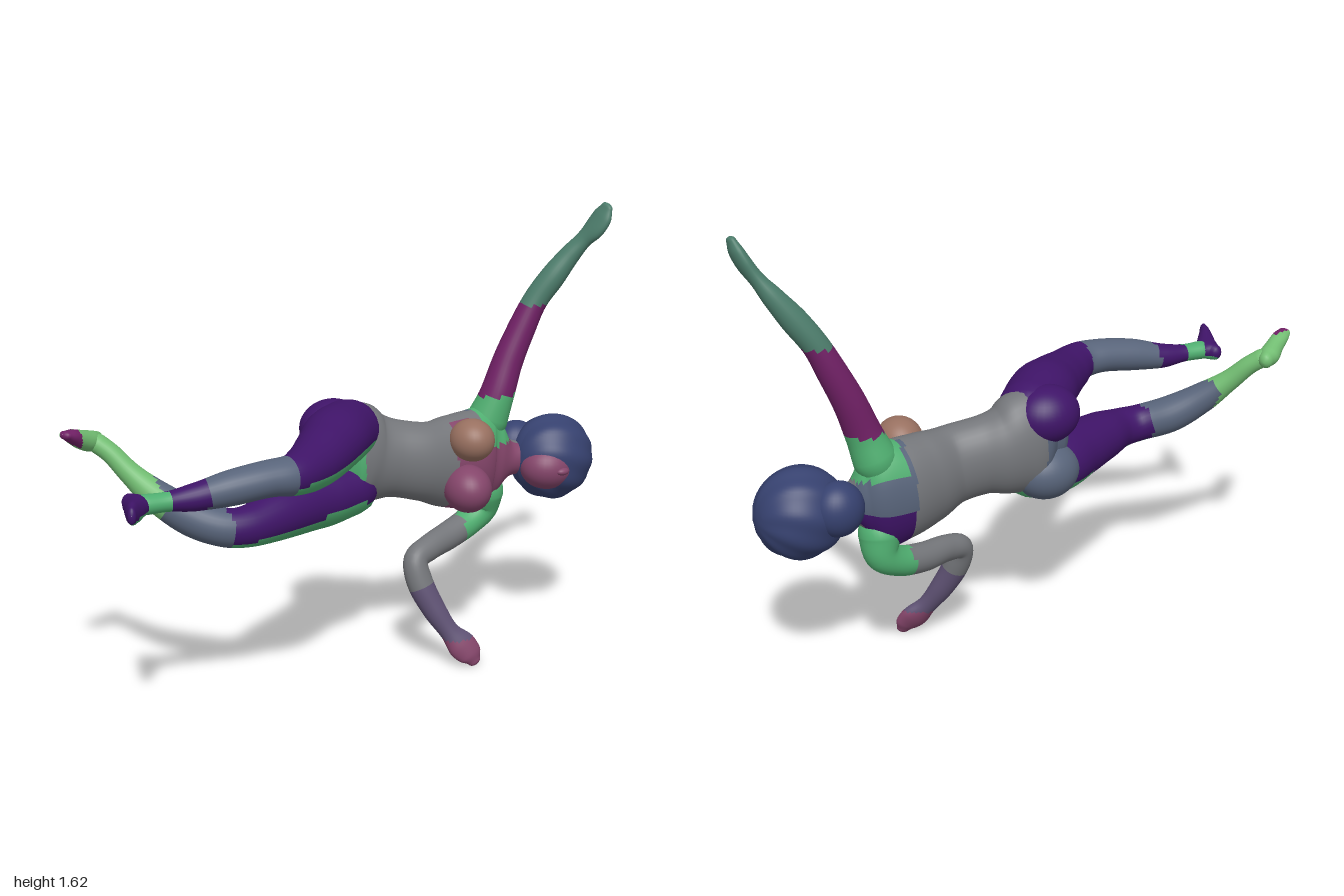
import * as THREE from 'three';

const PALETTE = {
  violet: 0x3f1468, green: 0x4fae70, lime: 0x72bd72, slate: 0x58647a, grey: 0x74767a,
  plum: 0x702065, teal: 0x4d7d6c, mauve: 0x5f5274, rose: 0x84456a, tan: 0x987060, blue: 0x36416f,
};
const materials = {};
const paint = (key) => (materials[key] ??= new THREE.MeshStandardMaterial({ color: PALETTE[key] }));

// Smooth body: stations are [x, y, z, radius along ref, radius across]; pick(point, t) names the colour.
function loft(name, stations, ref, pick, sides = 28, steps = 64) {
  const path = new THREE.CatmullRomCurve3(stations.map((s) => new THREE.Vector3(s[0], s[1], s[2])));
  const radii = new THREE.CatmullRomCurve3(stations.map((s) => new THREE.Vector3(s[3], s[4], 0)), false, 'catmullrom', 0.4);
  const rings = [];
  const addRing = (t, shift, scale) => {
    const T = path.getTangent(t), r = radii.getPoint(t);
    const u = ref.clone().addScaledVector(T, -ref.dot(T)).normalize();
    const w = new THREE.Vector3().crossVectors(T, u);
    const c = path.getPoint(t).addScaledVector(T, shift * Math.min(r.x, r.y));
    rings.push({ t, c, u: u.multiplyScalar(r.x * scale), w: w.multiplyScalar(r.y * scale) });
  };
  // rounded ends on both sides of the swept body
  const caps = [0.05, 0.3, 0.6, 0.9, 1.2].map((a) => [Math.cos(a), Math.sin(a)]);
  caps.forEach(([c, s]) => addRing(0, -c, s));
  for (let i = 0; i <= steps; i++) addRing(i / steps, 0, 1);
  caps.reverse().forEach(([c, s]) => addRing(1, c, s));

  const pos = [];
  for (const { c, u, w } of rings) {
    for (let j = 0; j < sides; j++) {
      const a = (j / sides) * Math.PI * 2;
      const p = c.clone().addScaledVector(u, Math.cos(a)).addScaledVector(w, Math.sin(a));
      pos.push(p.x, p.y, p.z);
    }
  }
  const all = [], byColour = {};
  for (let i = 0; i < rings.length - 1; i++) {
    for (let j = 0; j < sides; j++) {
      const k = (j + 1) % sides;
      const a = i * sides + j, b = i * sides + k, c = b + sides, d = a + sides;
      const p = new THREE.Vector3().fromArray(pos, a * 3);
      const tris = [a, b, d, b, c, d];
      all.push(...tris);
      (byColour[pick(p, rings[i])] ??= []).push(...tris);
    }
  }
  const base = new THREE.BufferGeometry();
  base.setAttribute('position', new THREE.Float32BufferAttribute(pos, 3));
  base.setIndex(all);
  base.computeVertexNormals();
  const group = new THREE.Group();
  group.name = name;
  for (const [key, index] of Object.entries(byColour)) {
    const g = base.clone();
    g.setIndex(index);
    const mesh = new THREE.Mesh(g, paint(key));
    mesh.name = `${name} ${key} area`;
    group.add(mesh);
  }
  return group;
}

function ellipsoid(name, key, centre, size, rotation = [0, 0, 0]) {
  const mesh = new THREE.Mesh(new THREE.SphereGeometry(1, 32, 24), paint(key));
  mesh.name = name;
  mesh.position.set(...centre);
  mesh.scale.set(...size);
  mesh.rotation.set(...rotation);
  return mesh;
}

// Head of hair with soft combed waves
function hair() {
  const g = new THREE.SphereGeometry(1, 56, 40);
  const p = g.attributes.position, v = new THREE.Vector3();
  for (let i = 0; i < p.count; i++) {
    v.fromBufferAttribute(p, i);
    const away = Math.hypot(v.y, v.z);
    v.multiplyScalar(1 + 0.018 * away * Math.sin(9 * Math.atan2(v.y, v.z) + 4 * v.x));
    p.setXYZ(i, v.x * 0.157, v.y * 0.157, v.z * 0.145);
  }
  g.computeVertexNormals();
  const mesh = new THREE.Mesh(g, paint('blue'));
  mesh.name = 'hair';
  mesh.position.set(0.842, 0.68, 0.03);
  return mesh;
}

export function createModel() {
  const model = new THREE.Group();
  model.name = 'recliningFigure';
  const Y = new THREE.Vector3(0, 1, 0), Z = new THREE.Vector3(0, 0, 1);

  // Torso from pelvis to neck
  model.add(loft('torso', [
    [-0.03, 0.78, -0.10, 0.13, 0.08], [0.02, 0.783, -0.10, 0.19, 0.115], [0.07, 0.778, -0.095, 0.19, 0.12],
    [0.13, 0.765, -0.085, 0.16, 0.112], [0.2, 0.755, -0.06, 0.14, 0.10], [0.3, 0.735, -0.03, 0.143, 0.10],
    [0.4, 0.717, -0.035, 0.167, 0.113], [0.5, 0.705, -0.042, 0.182, 0.12], [0.58, 0.7, -0.045, 0.19, 0.102],
    [0.63, 0.695, -0.03, 0.14, 0.08], [0.68, 0.69, -0.015, 0.068, 0.06], [0.78, 0.685, 0.01, 0.058, 0.058],
  ], Y, (p) => {
    if (p.x < 0.03) return p.z > -0.03 ? 'green' : 'slate';
    if (p.x > 0.52 && p.y > 0.78) return 'green';
    if (p.x > 0.5 && p.z < -0.06) return p.y < 0.66 ? 'violet' : 'slate';
    return p.x > 0.38 && p.z > 0 ? 'rose' : 'grey';
  }, 36, 80));

  // Breasts and buttocks
  model.add(
    ellipsoid('upperBreast', 'tan', [0.435, 0.82, 0.085], [0.078, 0.076, 0.085]),
    ellipsoid('lowerBreast', 'rose', [0.415, 0.645, 0.09], [0.085, 0.085, 0.1], [0, -0.3, 0]),
    ellipsoid('upperButtock', 'violet', [-0.01, 0.885, -0.135], [0.12, 0.1, 0.105]),
    ellipsoid('lowerButtock', 'slate', [-0.01, 0.675, -0.135], [0.12, 0.1, 0.105]),
  );

  // Upper leg, bent forward at the hip
  model.add(loft('upperLeg', [
    [0.02, 0.885, -0.085, 0.105, 0.115], [-0.09, 0.893, 0.01, 0.107, 0.118], [-0.18, 0.88, 0.085, 0.098, 0.105],
    [-0.29, 0.867, 0.165, 0.083, 0.088], [-0.39, 0.868, 0.22, 0.068, 0.073], [-0.48, 0.87, 0.215, 0.06, 0.068],
    [-0.6, 0.855, 0.192, 0.058, 0.062], [-0.72, 0.835, 0.158, 0.045, 0.046], [-0.81, 0.832, 0.142, 0.032, 0.035],
    [-0.88, 0.832, 0.13, 0.033, 0.038],
  ], Y, (p, { c }) => {
    if (p.x < -0.8) return 'green';
    if (p.x < -0.68) return 'violet';
    if (p.x < -0.4) return 'slate';
    return p.y > c.y - 0.03 ? 'violet' : 'green';
  }));
  model.add(loft('upperFoot', [
    [-0.91, 0.832, 0.085, 0.03, 0.025], [-0.905, 0.832, 0.12, 0.034, 0.044],
    [-0.935, 0.835, 0.17, 0.037, 0.034], [-0.965, 0.842, 0.215, 0.037, 0.023], [-0.985, 0.848, 0.25, 0.028, 0.014],
  ], Y, (p) => (p.y > 0.82 ? 'violet' : 'green'), 20, 32));

  // Lower leg, bent back at the knee
  model.add(loft('lowerLeg', [
    [0.02, 0.675, -0.09, 0.105, 0.115], [-0.09, 0.667, -0.075, 0.11, 0.12], [-0.2, 0.665, -0.04, 0.102, 0.105],
    [-0.33, 0.662, 0.005, 0.09, 0.092], [-0.45, 0.655, 0.04, 0.072, 0.07], [-0.53, 0.66, 0.03, 0.066, 0.065],
    [-0.62, 0.695, -0.03, 0.066, 0.067], [-0.71, 0.76, -0.095, 0.055, 0.055], [-0.78, 0.84, -0.165, 0.038, 0.038],
    [-0.825, 0.905, -0.215, 0.033, 0.034], [-0.855, 0.935, -0.245, 0.033, 0.035],
  ], Y, (p, { c }) => {
    if (p.x < -0.72) return 'lime';
    if (p.x < -0.53) return 'slate';
    return p.y > c.y - 0.045 ? 'violet' : 'green';
  }));
  model.add(loft('lowerFoot', [
    [-0.85, 0.94, -0.275, 0.03, 0.027], [-0.878, 0.945, -0.258, 0.035, 0.037],
    [-0.92, 0.962, -0.235, 0.032, 0.032], [-0.96, 0.983, -0.218, 0.024, 0.03], [-0.985, 0.993, -0.208, 0.015, 0.024],
  ], Y, (p) => (p.x < -0.93 && p.z > -0.22 ? 'plum' : 'lime'), 20, 32));

  // Raised arm with hand
  model.add(loft('raisedArm', [
    [0.6, 0.84, -0.045, 0.075, 0.075], [0.63, 0.93, -0.03, 0.064, 0.062], [0.675, 1.05, -0.028, 0.056, 0.055],
    [0.725, 1.16, -0.02, 0.051, 0.05], [0.775, 1.265, -0.005, 0.046, 0.044], [0.83, 1.35, 0.022, 0.046, 0.044],
    [0.885, 1.43, 0.05, 0.039, 0.035], [0.92, 1.485, 0.08, 0.036, 0.025], [0.945, 1.53, 0.11, 0.048, 0.025],
    [0.962, 1.57, 0.128, 0.046, 0.022], [0.972, 1.605, 0.14, 0.028, 0.014],
  ], Z, (p) => (p.y < 0.93 ? 'green' : p.y < 1.25 ? 'plum' : 'teal')));

  // Bent arm hanging below with hand
  model.add(loft('hangingArm', [
    [0.6, 0.57, -0.055, 0.075, 0.07], [0.6, 0.5, -0.07, 0.062, 0.06], [0.54, 0.455, -0.068, 0.056, 0.052],
    [0.43, 0.425, -0.045, 0.051, 0.051], [0.32, 0.41, -0.01, 0.046, 0.047], [0.25, 0.385, 0.01, 0.044, 0.044],
    [0.25, 0.31, 0.035, 0.045, 0.048], [0.285, 0.21, 0.075, 0.04, 0.043], [0.325, 0.13, 0.115, 0.031, 0.036],
    [0.358, 0.08, 0.145, 0.03, 0.053], [0.382, 0.045, 0.168, 0.024, 0.046], [0.393, 0.022, 0.178, 0.016, 0.026],
  ], Z, (p, { t }) => {
    if (t > 0.55) return p.y < 0.11 ? 'rose' : 'mauve';
    return p.x > 0.5 ? 'green' : 'grey';
  }));

  // Head: hair mass, nape, face and nose
  model.add(
    hair(),
    ellipsoid('hairAtNape', 'blue', [0.755, 0.71, -0.07], [0.09, 0.095, 0.08]),
    ellipsoid('face', 'rose', [0.79, 0.665, 0.075], [0.11, 0.088, 0.098], [0, 0.25, 0]),
    ellipsoid('nose', 'rose', [0.785, 0.665, 0.168], [0.026, 0.014, 0.018]),
  );
  return model;
}
